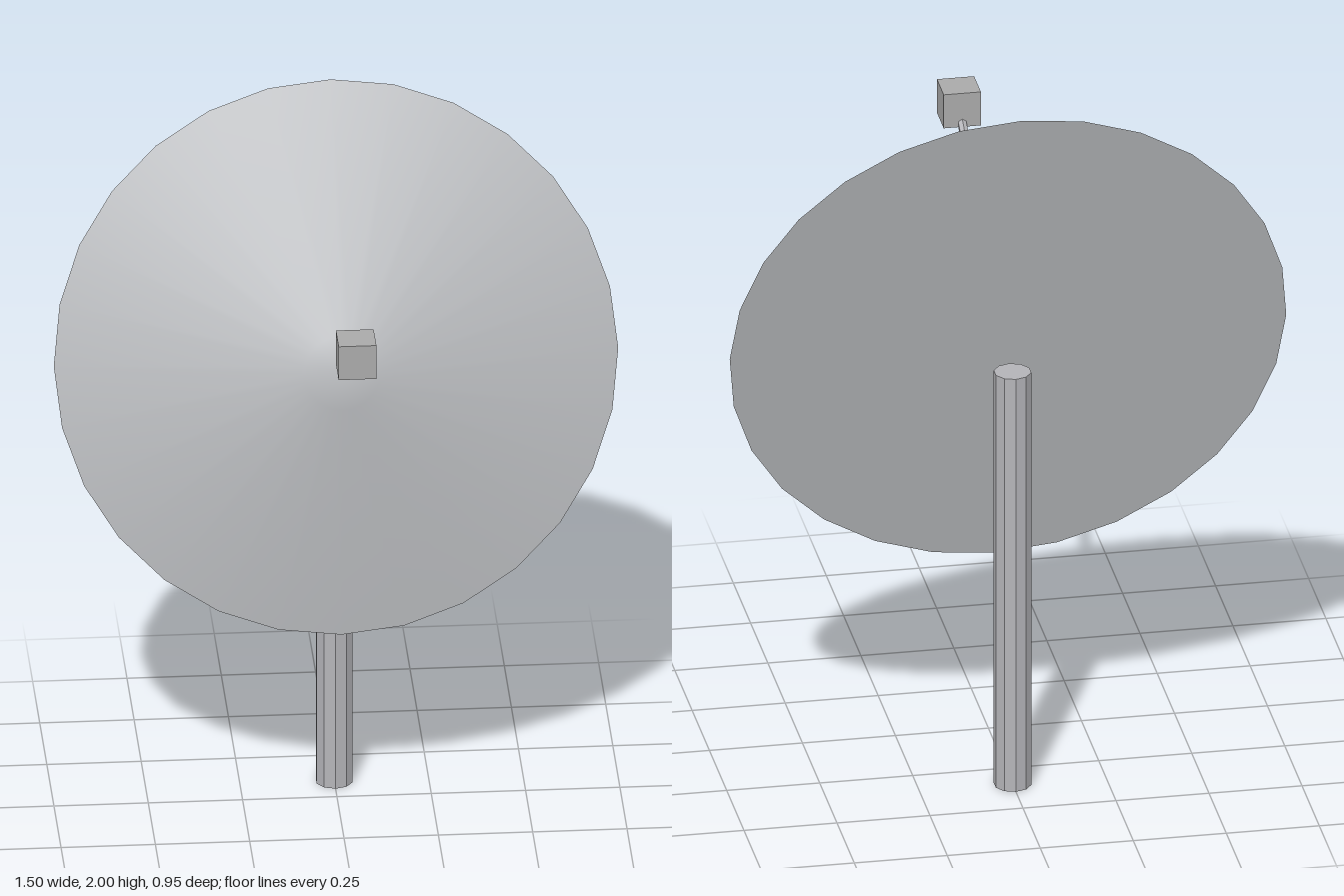
import * as THREE from 'three';

export function createModel() {
  const model = new THREE.Group();
  const material = (name, color, flatShading = false) => {
    const m = new THREE.MeshStandardMaterial({ color, flatShading });
    m.name = name;
    return m;
  };
  const dishGrey = material('dishGrey', 0xb8babd);
  const metalGrey = material('metalGrey', 0xb4b4b8, true);
  const receiverGrey = material('receiverGrey', 0xaaaaaa);

  const add = (parent, name, geometry, mat) => {
    const mesh = new THREE.Mesh(geometry, mat);
    mesh.name = name;
    parent.add(mesh);
    return mesh;
  };

  // Dish: shallow smooth cone with a blunt tip, axis tilted 15 degrees upward
  const R = 0.748, sides = 28;
  const dish = new THREE.Group();
  dish.name = 'dish';
  dish.position.set(0, 1.278, -0.283);
  dish.rotation.x = -THREE.MathUtils.degToRad(15);
  model.add(dish);

  const profile = [[R, 0], [0.1, 0.225], [0, 0.225]].map(([r, h]) => new THREE.Vector2(r, h));
  const face = new THREE.LatheGeometry(profile, sides);
  face.rotateX(Math.PI / 2);
  add(dish, 'dishFace', face, dishGrey);

  const back = new THREE.CircleGeometry(R, sides);
  back.rotateY(Math.PI);
  add(dish, 'dishBack', back, dishGrey);

  // Upright pole behind the dish
  const pole = add(model, 'pole', new THREE.CylinderGeometry(0.05, 0.05, 1.207, 10), metalGrey);
  pole.position.set(0, 1.207 / 2, -0.348);

  // Thin arm from the dish centre to the receiver
  const start = new THREE.Vector3(0, 1.328, -0.07);
  const end = new THREE.Vector3(0, 1.607, 0.405);
  const arm = add(model, 'receiverArm',
    new THREE.CylinderGeometry(0.0125, 0.0125, start.distanceTo(end), 6), metalGrey);
  arm.position.lerpVectors(start, end, 0.5);
  arm.quaternion.setFromUnitVectors(new THREE.Vector3(0, 1, 0), end.clone().sub(start).normalize());

  // Receiver box at the end of the arm
  const receiver = add(model, 'receiver', new THREE.BoxGeometry(0.1, 0.098, 0.098), receiverGrey);
  receiver.position.set(0, 1.632, 0.427);

  return model;
}
